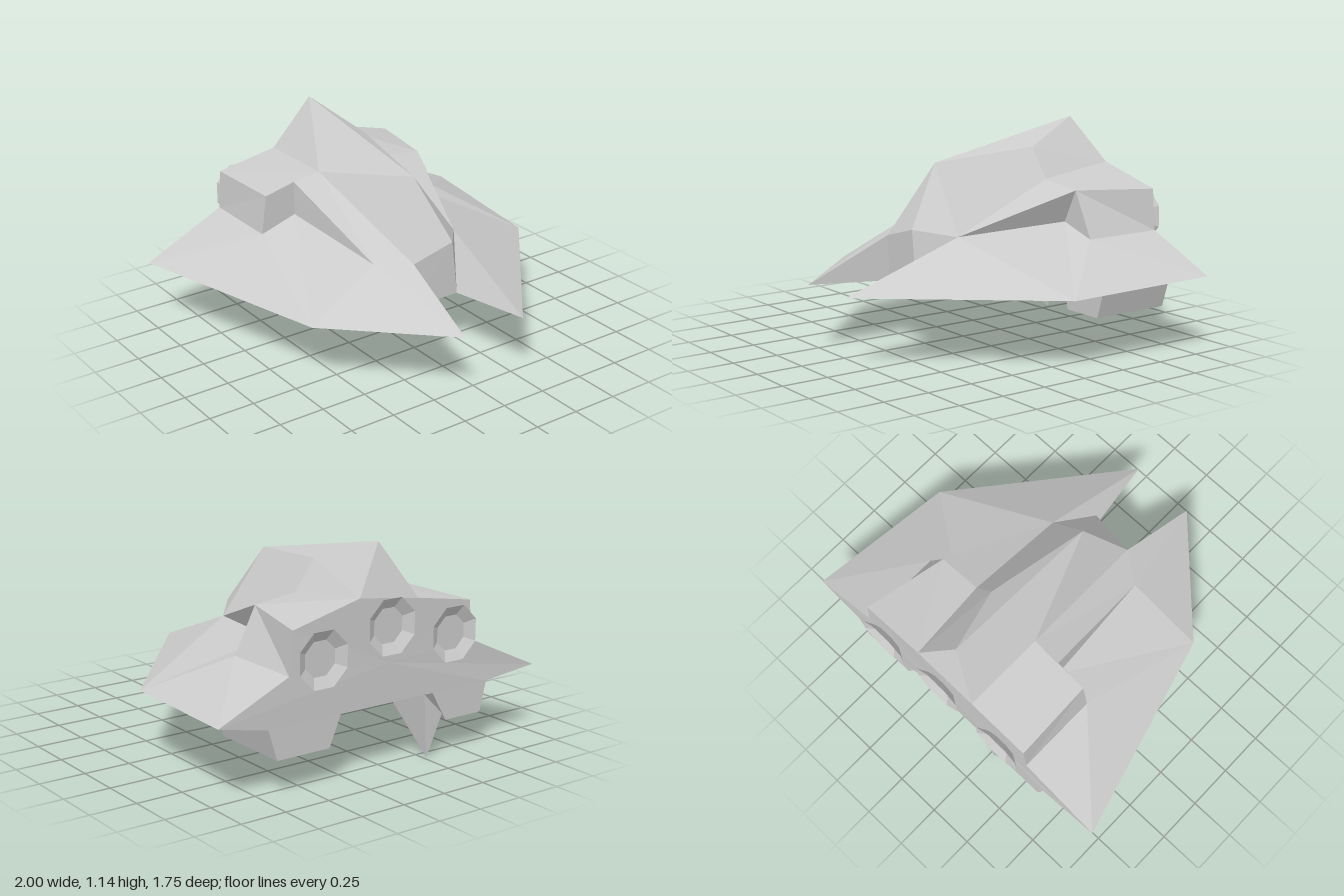
import * as THREE from 'three';

const material = new THREE.MeshStandardMaterial({ color: 0xcccccc, flatShading: true, side: THREE.DoubleSide });

// Faceted mesh from flat polygons; each is turned to face away from the inner point.
function facets(name, inside, polygons) {
  const centre = new THREE.Vector3(...inside);
  const out = [];
  for (const polygon of polygons) {
    const pts = polygon.map((p) => new THREE.Vector3(...p));
    for (let i = 1; i < pts.length - 1; i++) {
      const tri = new THREE.Triangle(pts[0], pts[i], pts[i + 1]);
      const n = tri.getNormal(new THREE.Vector3());
      const away = tri.getMidpoint(new THREE.Vector3()).sub(centre);
      const order = n.dot(away) < 0 ? [tri.a, tri.c, tri.b] : [tri.a, tri.b, tri.c];
      order.forEach((v) => out.push(v.x, v.y, v.z));
    }
  }
  const geometry = new THREE.BufferGeometry();
  geometry.setAttribute('position', new THREE.Float32BufferAttribute(out, 3));
  geometry.computeVertexNormals();
  const mesh = new THREE.Mesh(geometry, material);
  mesh.name = name;
  return mesh;
}

// Triangles around a hub, through a chain of points
const fan = (hub, chain) => chain.slice(1).map((p, i) => [hub, chain[i], p]);

export function createModel() {
  const ship = new THREE.Group();
  ship.name = 'spaceship';

  // Shared corners of the spine
  const chinR = [-0.11, 0.34, 0.4], chinL = [0.155, 0.345, 0.41];
  const browR = [-0.12, 0.58, 0.4], browL = [0.12, 0.645, 0.41];
  const crest = [0.025, 0.96, 0.2], peak = [0, 1.14, -0.73];
  const ridgeR = [-0.18, 0.85, -0.37], ridgeRBack = [-0.18, 0.85, -0.825];
  const ridgeL = [0.235, 0.85, -0.37], ridgeLBack = [0.19, 0.9, -0.83];
  const flankL = [0.12, 1.01, -0.37];

  // Shared corners of the engine housings
  const rootR = [-0.285, 0.58, 0.28], rootL = [0.27, 0.61, 0.23];
  const footR = [-0.34, 0.645, -0.37], footL = [0.395, 0.645, -0.37];
  const topR = [-0.34, 0.83, -0.37], outR = [-0.515, 0.79, -0.37], outRBack = [-0.53, 0.79, -0.82];
  const topL = [0.48, 0.82, -0.37], topLBack = [0.58, 0.8, -0.82];
  const sillR = [-0.545, 0.58, -0.37], sillRBack = [-0.545, 0.58, -0.82];
  const sillL = [0.6, 0.58, -0.37], sillLBack = [0.6, 0.58, -0.82];

  // Shared corners of the wings
  const tipR = [-1, 0.37, -0.81], edgeR = [-0.69, 0.36, 0.32], prongR = [-0.15, 0.37, 0.865];
  const tipL = [1, 0.4, -0.82], edgeL = [0.925, 0.37, 0], prongL = [0.215, 0.37, 0.87];
  const keelR = [-0.65, 0.34, -0.82], keelL = [0.72, 0.34, -0.82];
  const keelBack = [0, 0.34, -0.82], keelFront = [0.02, 0.342, 0.405];

  ship.add(facets('spine', [0, 0.5, -0.3], [
    [chinR, chinL, browL, browR],
    [browR, browL, crest],
    [browR, crest, ridgeR], [crest, peak, ridgeR], [peak, ridgeRBack, ridgeR],
    [browL, rootL, crest], [browL, chinL, rootL],
    [crest, rootL, flankL], [rootL, ridgeL, flankL],
    [crest, flankL, peak], [flankL, ridgeLBack, peak], [flankL, ridgeL, ridgeLBack],
    [peak, ridgeLBack, ridgeRBack],
  ]));

  ship.add(facets('rightHousing', [-0.25, 0.6, -0.5], [
    [ridgeR, ridgeRBack, outRBack, outR, topR],
    [ridgeR, topR, rootR], [ridgeR, rootR, browR],
    [rootR, topR, footR],
    [footR, topR, outR, sillR],
    [outR, outRBack, sillRBack, sillR],
  ]));

  ship.add(facets('leftHousing', [0.3, 0.6, -0.5], [
    [topL, ridgeL, ridgeLBack], [topL, ridgeLBack, topLBack],
    [rootL, topL, ridgeL], [rootL, footL, topL],
    [footL, sillL, topL],
    [topL, sillL, sillLBack], [topL, sillLBack, topLBack],
  ]));

  ship.add(facets('rightWing', [-0.45, 0.37, -0.3], [
    [prongR, browR, rootR], [prongR, rootR, edgeR],
    [rootR, footR, edgeR], [footR, sillR, edgeR],
    [sillR, tipR, edgeR], [sillR, sillRBack, tipR],
    [prongR, chinR, browR],
    ...fan([-0.5, 0.34, 0.1], [keelBack, keelR, tipR, edgeR, prongR, chinR, keelFront, keelBack]),
  ]));

  ship.add(facets('leftWing', [0.5, 0.37, -0.3], [
    [prongL, rootL, edgeL],
    [rootL, footL, edgeL], [footL, sillL, edgeL],
    [sillL, tipL, edgeL], [sillL, sillLBack, tipL],
    [prongL, chinL, rootL],
    ...fan([0.6, 0.34, 0], [keelBack, keelL, tipL, edgeL, prongL, chinL, keelFront, keelBack]),
  ]));

  ship.add(facets('sternPlate', [0, 0.5, 0], fan([0, 0.55, -0.825], [
    keelR, tipR, sillRBack, outRBack, ridgeRBack, ridgeLBack,
    topLBack, sillLBack, tipL, keelL, keelR,
  ])));

  // Tapered skids under the wings: side, outer top/bottom x, inner front/back x
  function skid(name, topOut, botOut, topIn, botIn, topInBack, botInBack) {
    const f = (x, y) => [x, y, -0.365], b = (x, y) => [x, y, -0.82];
    const hi = 0.345, lo = 0.18;
    return facets(name, [(botOut + botIn) / 2, 0.3, -0.6], [
      [f(topOut, hi), f(botOut, lo), f(botIn, lo), f(topIn, hi)],
      [b(topOut, hi), b(botOut, lo), b(botInBack, lo), b(topInBack, hi)],
      [f(topOut, hi), b(topOut, hi), b(botOut, lo), f(botOut, lo)],
      [f(topIn, hi), b(topInBack, hi), b(botInBack, lo), f(botIn, lo)],
      [f(botOut, lo), b(botOut, lo), b(botInBack, lo), f(botIn, lo)],
    ]);
  }
  ship.add(skid('rightSkid', -0.66, -0.62, -0.29, -0.385, -0.29, -0.385));
  ship.add(skid('leftSkid', 0.72, 0.67, 0.39, 0.435, 0.29, 0.36));

  // Spike hanging inside the right skid
  const spikeFront = [-0.29, 0.34, -0.365], spikeIn = [-0.24, 0.34, -0.82];
  const spikeOut = [-0.36, 0.22, -0.82], spikeTip = [-0.27, 0, -0.81];
  ship.add(facets('spike', [-0.29, 0.225, -0.7], [
    [spikeFront, spikeIn, spikeTip], [spikeFront, spikeTip, spikeOut],
    [spikeIn, spikeOut, spikeTip], [spikeFront, spikeOut, spikeIn],
  ]));

  // Octagonal dished thrusters
  const dish = new THREE.LatheGeometry(
    [[0, 0], [0.095, 0], [0.152, 0.032]].map(([r, h]) => new THREE.Vector2(r, h)), 8, Math.PI / 8);
  dish.rotateX(-Math.PI / 2);
  [[-0.385, 0.645, -0.84], [0.025, 0.745, -0.845], [0.435, 0.645, -0.84]].forEach((p, i) => {
    const thruster = new THREE.Mesh(dish, material);
    thruster.name = `thruster${i + 1}`;
    thruster.position.set(...p);
    ship.add(thruster);
  });

  return ship;
}
